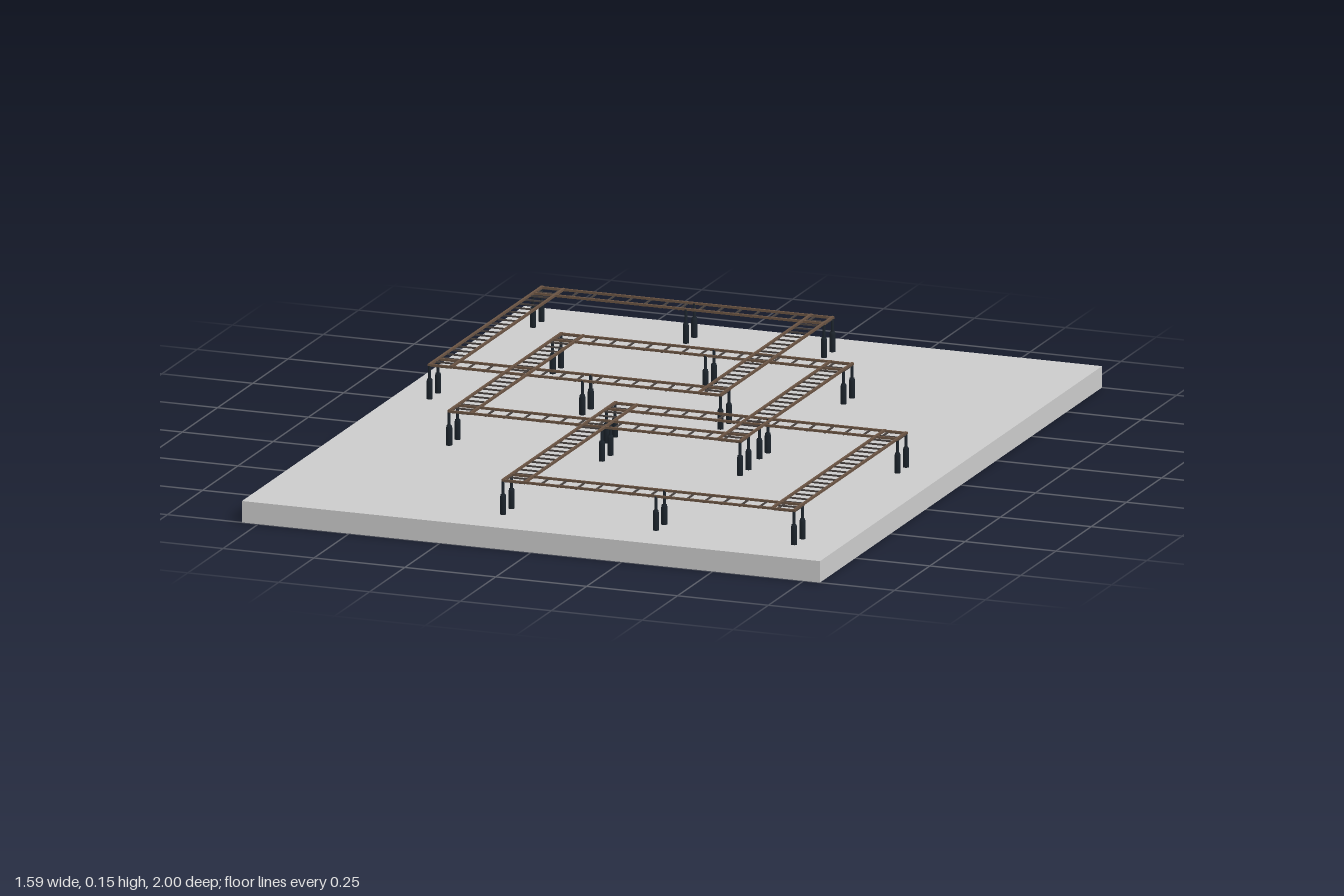
import * as THREE from 'three';

const baseMat = new THREE.MeshStandardMaterial({ color: 0xcccccc });
const postMat = new THREE.MeshStandardMaterial({ color: 0x1c242c });
const railMat = new THREE.MeshStandardMaterial({ color: 0x6b5443 });
const rungMat = new THREE.MeshStandardMaterial({ color: 0x4a4340 });

const BASE_TOP = 0.057, RAIL_Y = 0.147;
const HALF_X = 0.4, HALF_Z = 0.397, WIDTH = 0.06;

function add(parent, name, geometry, material, x, y, z) {
  const mesh = new THREE.Mesh(geometry, material);
  mesh.name = name;
  mesh.position.set(x, y, z);
  parent.add(mesh);
  return mesh;
}

// Stepped post: thick sleeve below, thin rod above
const postGeo = new THREE.LatheGeometry([
  [0, 0], [0.008, 0], [0.008, 0.046], [0.0065, 0.053], [0.004, 0.054], [0.004, RAIL_Y - BASE_TOP], [0, RAIL_Y - BASE_TOP],
].map(([r, y]) => new THREE.Vector2(r, y)), 12);

// Straight ladder along x: two rails with evenly spaced rungs
function createLadder(name, length, count) {
  const ladder = new THREE.Group();
  ladder.name = name;
  const rail = new THREE.BoxGeometry(length + 0.008, 0.006, 0.006);
  const rung = new THREE.BoxGeometry(0.004, 0.004, WIDTH);
  for (const s of [-1, 1]) add(ladder, 'rail', rail, railMat, 0, 0, s * WIDTH / 2);
  for (let i = 0; i <= count; i++) {
    add(ladder, 'rung', rung, rungMat, -length / 2 + (i * length) / count, -0.003, 0);
  }
  return ladder;
}

// Square loop of four ladders standing on twelve posts
function createLoop(x, z) {
  const loop = new THREE.Group();
  loop.name = 'ladderLoop';
  loop.position.set(x, 0, z);
  for (const s of [-1, 1]) {
    const across = createLadder('crossLadder', 2 * HALF_X, 16);
    across.position.set(0, RAIL_Y, s * (HALF_Z - WIDTH / 2));
    const along = createLadder('sideLadder', 2 * HALF_Z, 20);
    along.rotation.y = Math.PI / 2;
    along.position.set(s * (HALF_X - WIDTH / 2), RAIL_Y + 0.001, 0);
    loop.add(across, along);
    for (const px of [-HALF_X, 0.02, HALF_X]) {
      for (const pz of [HALF_Z, HALF_Z - WIDTH]) add(loop, 'post', postGeo, postMat, px, BASE_TOP, s * pz);
    }
  }
  return loop;
}

export function createModel() {
  const model = new THREE.Group();
  model.name = 'ladderLoopsOnSlab';
  add(model, 'baseSlab', new THREE.BoxGeometry(1.59, BASE_TOP, 2), baseMat, 0, BASE_TOP / 2, 0);
  for (const [x, z] of [[-0.3, -0.483], [-0.093, -0.088], [0.275, 0.478]]) model.add(createLoop(x, z));
  return model;
}
